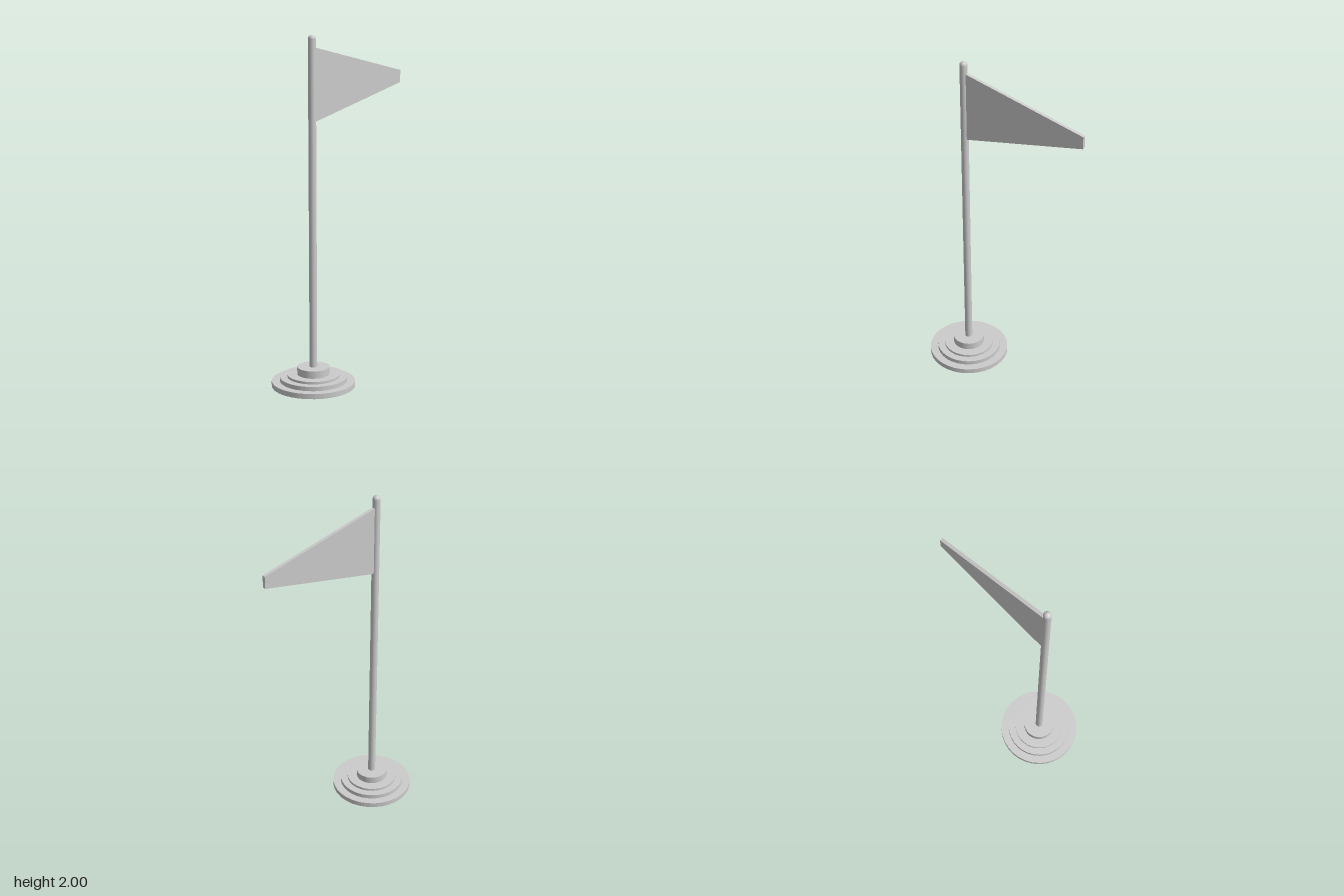
import * as THREE from 'three';

export function createModel() {
  const group = new THREE.Group();
  const material = new THREE.MeshStandardMaterial({ color: 0xcccccc });
  const poleX = -0.257;

  const add = (name, geometry, x = 0, y = 0, z = 0) => {
    const mesh = new THREE.Mesh(geometry, material);
    mesh.name = name;
    mesh.position.set(x, y, z);
    group.add(mesh);
  };

  // Stepped round base: radius, bottom, top
  const steps = [
    [0.24, 0, 0.03],
    [0.193, 0.03, 0.055],
    [0.15, 0.055, 0.069],
    [0.093, 0.069, 0.112],
  ];
  steps.forEach(([r, y0, y1], i) =>
    add(`baseStep${i + 1}`, new THREE.CylinderGeometry(r, r, y1 - y0, 32), poleX, (y0 + y1) / 2));

  // Pole with a domed tip
  const r = 0.022, bottom = 0.112, top = 2 - r;
  add('pole', new THREE.CylinderGeometry(r, r, top - bottom, 24, 1, true), poleX, (top + bottom) / 2);
  add('poleTip', new THREE.SphereGeometry(r, 24, 8, 0, Math.PI * 2, 0, Math.PI / 2), poleX, top);

  // Tapering pennant, its hoist edge sunk slightly into the pole
  const outline = new THREE.Shape([
    new THREE.Vector2(-0.24, 1.522),
    new THREE.Vector2(0.497, 1.69),
    new THREE.Vector2(0.497, 1.762),
    new THREE.Vector2(-0.24, 1.93),
  ]);
  add('pennant', new THREE.ExtrudeGeometry(outline, { depth: 0.02, bevelEnabled: false }), 0, 0, -0.01);

  return group;
}
